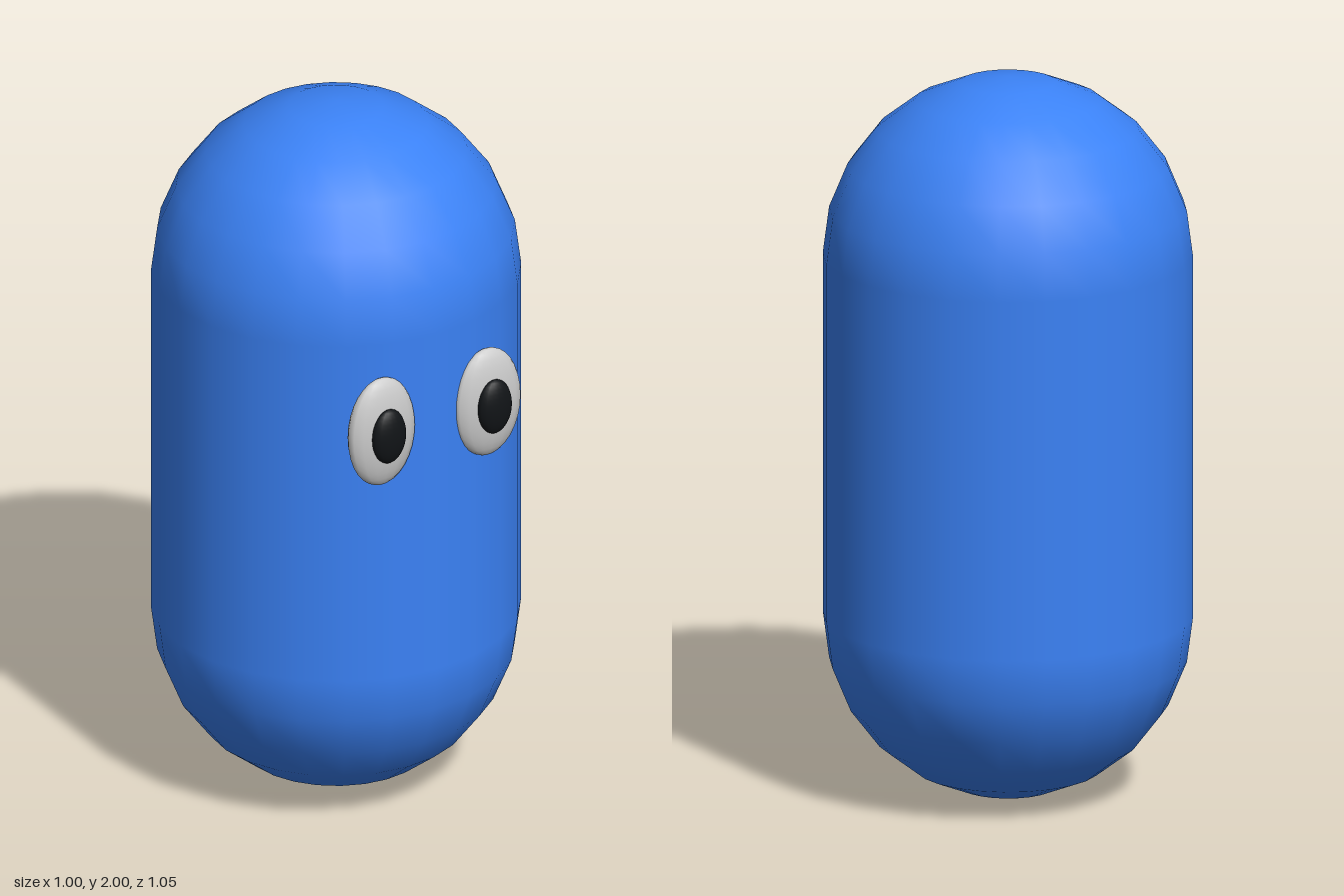
import * as THREE from 'three';

export function createModel() {
  const model = new THREE.Group();
  model.name = 'capsuleCharacter';

  const blue = new THREE.MeshStandardMaterial({ color: 0x3b82f6 });
  const white = new THREE.MeshStandardMaterial({ color: 0xffffff });
  const black = new THREE.MeshStandardMaterial({ color: 0x111417 });

  // Capsule body, set slightly back so the eyes complete the depth
  const body = new THREE.Mesh(new THREE.CapsuleGeometry(0.5, 1, 6, 24), blue);
  body.name = 'body';
  body.position.set(0, 1, -0.025);
  model.add(body);

  // Flattened, upright ellipsoid
  const ellipsoid = (name, material, radius, depth, z) => {
    const mesh = new THREE.Mesh(new THREE.SphereGeometry(radius, 16, 16), material);
    mesh.name = name;
    mesh.scale.set(1, 1.5, depth);
    mesh.position.z = z;
    return mesh;
  };

  // Mirrored eyes: white with a raised pupil
  for (const [name, side] of [['leftEye', 1], ['rightEye', -1]]) {
    const eye = new THREE.Group();
    eye.name = name;
    eye.position.set(side * 0.17, 1.25, 0.46);
    eye.add(ellipsoid('eyeWhite', white, 0.106, 0.38, 0));
    eye.add(ellipsoid('pupil', black, 0.053, 0.5, 0.038));
    model.add(eye);
  }

  return model;
}
